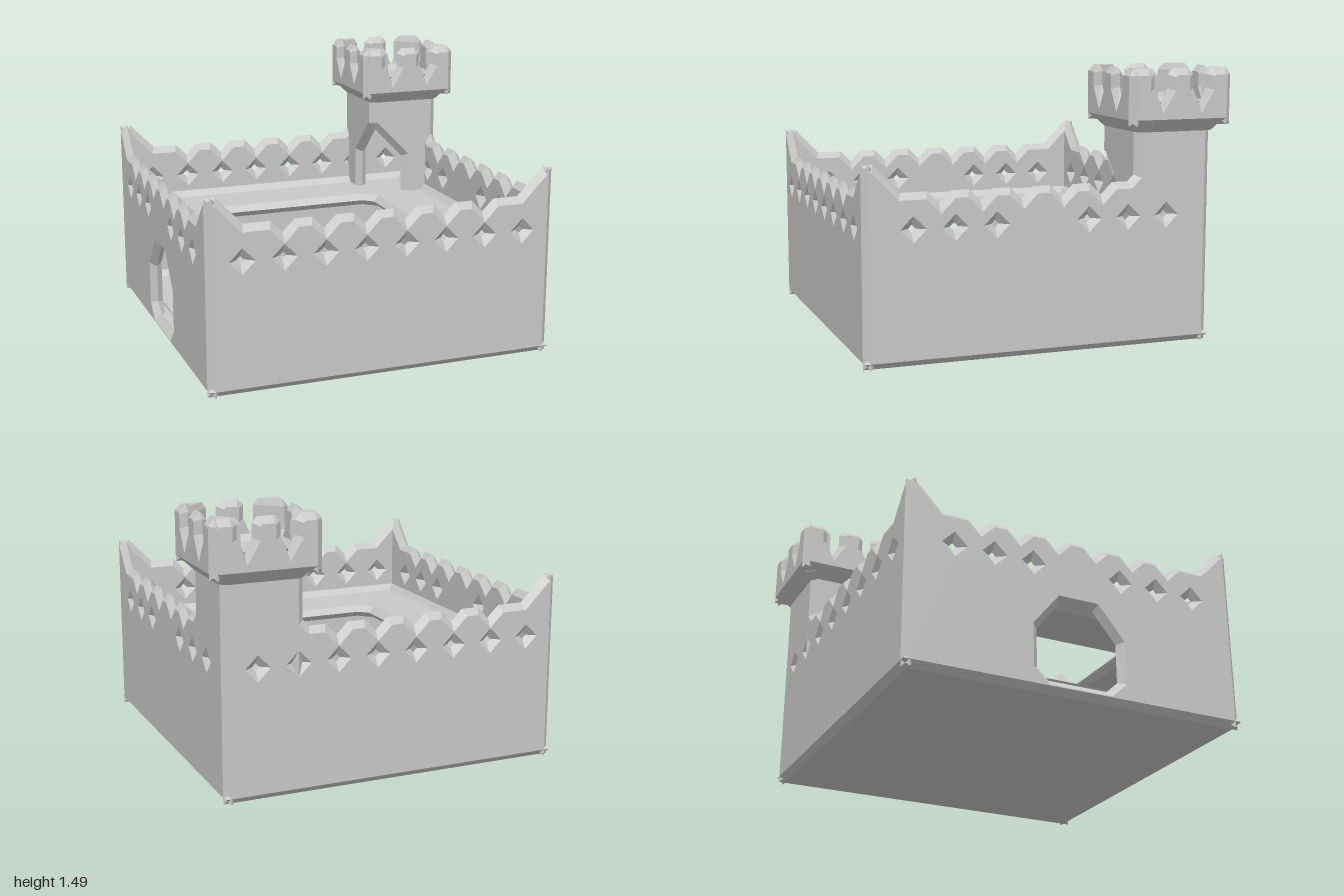
import * as THREE from 'three';

const E = 0.035;          // bevel; every panel is two bevels thick
const LEN = 1.92;         // outer wall length
const CX = -0.04, CZ = 0.04; // centre of the square keep
const TX = 0.705, TZ = -0.705; // centre of the tower

const stone = new THREE.MeshStandardMaterial({ color: 0xc8c8c8, flatShading: true, side: THREE.DoubleSide });
stone.name = 'stone grey';

const toPoints = (list) => list.map(([x, y]) => new THREE.Vector2(x, y));

// Plate with a bevelled edge all round; the outline describes its flat faces
function panel(name, outline, holes = []) {
  const shape = new THREE.Shape(toPoints(outline));
  for (const h of holes) shape.holes.push(new THREE.Path(toPoints(h)));
  const geo = new THREE.ExtrudeGeometry(shape, {
    depth: 0.0002, bevelEnabled: true, bevelSegments: 1, bevelSize: E, bevelThickness: E, steps: 1,
  });
  const mesh = new THREE.Mesh(geo, stone);
  mesh.name = name;
  return mesh;
}

const diamond = (u, y = 0.705, r = 0.07) => [[u - r, y], [u, y - r], [u + r, y], [u, y + r]];

// Square with cut corners, centred on (x, y)
function octagon(x, y, r, c) {
  return [[-r + c, -r], [r - c, -r], [r, -r + c], [r, r - c], [r - c, r], [-r + c, r], [-r, r - c], [-r, -r + c]]
    .map(([a, b]) => [x + a, y + b]);
}

// Wall outline with V notches and corner spikes; one end may rise into the tower
function wallOutline(hasTower) {
  const pts = [[E, E], [LEN - E, E]];
  if (hasTower) {
    pts.push([LEN - E, 1.16], [1.515, 1.16], [1.515, 0.91], [1.46, 0.855]);
  } else {
    pts.push([LEN - E, 1], [LEN - E - 0.01, 1], [LEN - 0.185, 0.855]);
  }
  for (let i = hasTower ? 4 : 5; i >= 0; i--) {
    const u = 0.405 + i * 0.222;
    pts.push([u + 0.078, 0.855], [u, 0.777], [u - 0.078, 0.855]);
  }
  pts.push([0.185, 0.855], [E + 0.01, 1], [E, 1]);
  return pts;
}

// Sloping strip where a floor meets the walls around it
function fillet(name, half, x, y, z) {
  const geo = new THREE.CylinderGeometry(half * Math.SQRT2, (half - E) * Math.SQRT2, E, 4, 1, true);
  geo.rotateY(Math.PI / 4);
  const mesh = new THREE.Mesh(geo, stone);
  mesh.name = name;
  mesh.position.set(x, y + E / 2, z);
  return mesh;
}

function place(parent, mesh, x, y, z, rx = 0, ry = 0) {
  mesh.position.set(x, y, z);
  mesh.rotation.set(rx, ry, 0);
  parent.add(mesh);
}

function buildKeep() {
  const keep = new THREE.Group();
  keep.name = 'keep';
  const Q = Math.PI / 2;

  // Eight lookout holes front and back, six on the sides
  const longHoles = () => Array.from({ length: 8 }, (_, i) => diamond(0.183 + i * 0.222));
  const sideHoles = () => [0.26, 0.482, 0.704, 1.216, 1.438, 1.66].map((u) => diamond(u));
  const m = LEN / 2;
  const door = [[m - 0.18, 0.04], [m + 0.18, 0.04], [m + 0.265, 0.12], [m + 0.265, 0.36],
    [m + 0.115, 0.545], [m - 0.115, 0.545], [m - 0.265, 0.36], [m - 0.265, 0.12]];

  place(keep, panel('frontWall', wallOutline(false), longHoles()), -1, 0, 1 - E);
  place(keep, panel('backWall', wallOutline(true), longHoles()), -1, 0, -0.92 + E);
  place(keep, panel('gateWall', wallOutline(false), [...sideHoles(), door]), -1 + E, 0, 1, 0, Q);
  place(keep, panel('towerSideWall', wallOutline(true), sideHoles()), 0.92 - E, 0, 1, 0, Q);

  // Ground floor, and the walkway with its large opening
  const square = (r) => [[-r, -r], [r, -r], [r, r], [-r, r]];
  place(keep, panel('groundFloor', square(m - E)), CX, E, CZ, -Q);
  place(keep, panel('walkway', square(0.88), [octagon(0, 0, 0.557, 0.075)]), CX, 0.535, CZ, -Q);
  keep.add(fillet('groundFillet', 0.89, CX, 0.07, CZ));
  keep.add(fillet('walkwayFillet', 0.89, CX, 0.57, CZ));
  return keep;
}

function buildTower() {
  const tower = new THREE.Group();
  tower.name = 'tower';
  const Q = Math.PI / 2;

  // Courtyard sides of the shaft, cut away at the lower inner corner
  const side = [[0.255, 0.55], [0.405, 0.55], [0.405, 1.16], [E, 1.16], [E, 1.03], [0.255, 0.81]];
  place(tower, panel('shaftFront', side), 0.48, 0, -0.48 - E);
  place(tower, panel('shaftSide', side), 0.48 + E, 0, -0.48, 0, Q);

  // Flared underside and floor of the head
  place(tower, panel('headBase', octagon(0, 0, 0.225, 0.03)), TX, 1.15 + E, TZ, -Q);
  const floor = new THREE.Mesh(new THREE.BoxGeometry(0.5, 0.08, 0.5), stone);
  floor.name = 'headFloor';
  place(tower, floor, TX, 1.23, TZ);
  tower.add(fillet('headFillet', 0.225, TX, 1.27, TZ));

  // Battlement outline: two corner merlons, one middle merlon, two notches
  const W = 0.59, k = 0.01, top = 1.45;
  const outline = [[E, 1.22], [W - E, 1.22]];
  const merlon = (a, b) => outline.push([b, top - k], [b - k, top], [a + k, top], [a, top - k]);
  merlon(0.48, W - E);
  outline.push([0.48, 1.37], [0.4075, 1.25], [0.335, 1.37]);
  merlon(0.255, 0.335);
  outline.push([0.255, 1.37], [0.1825, 1.25], [0.11, 1.37]);
  merlon(E, 0.11);

  for (let i = 0; i < 4; i++) {
    const quarter = new THREE.Group();
    quarter.name = 'battlementSide';
    quarter.position.set(TX, 0, TZ);
    quarter.rotation.y = i * Q;
    place(quarter, panel('battlement', outline), -W / 2, 0, W / 2 - E);

    // Solid triangular backing of the corner merlon
    const tri = new THREE.Shape(toPoints([[0.05, 0.05], [0.14, 0.05], [0.05, 0.14]]));
    const geo = new THREE.ExtrudeGeometry(tri, {
      depth: 0.17, bevelEnabled: true, bevelSegments: 1, bevelSize: 0.02, bevelThickness: E,
    });
    const corner = new THREE.Mesh(geo, stone);
    corner.name = 'cornerMerlon';
    place(quarter, corner, -W / 2, 1.28, W / 2, -Q);
    tower.add(quarter);
  }
  return tower;
}

export function createModel() {
  const castle = new THREE.Group();
  castle.name = 'castle';
  castle.add(buildKeep(), buildTower());
  return castle;
}
